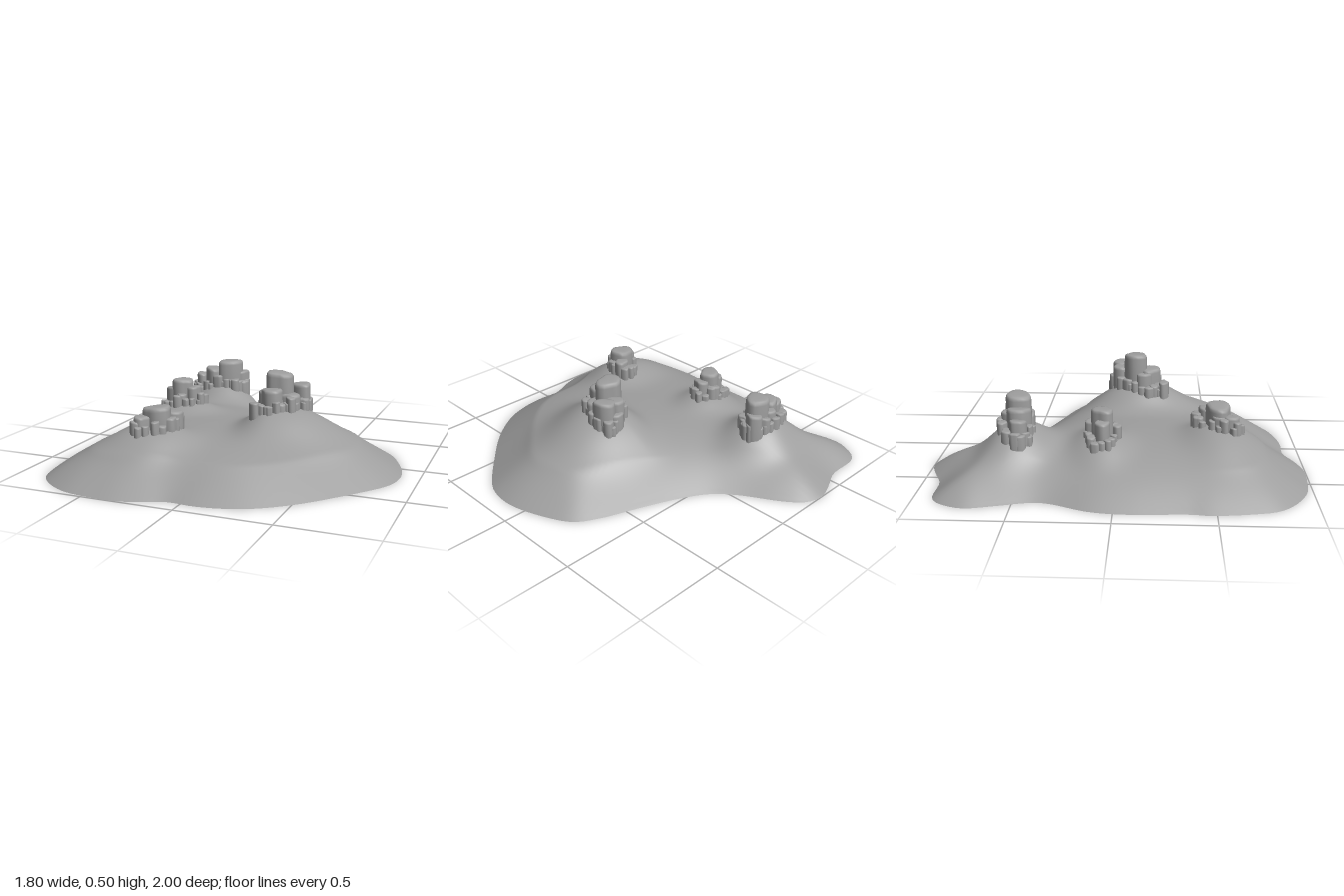
import * as THREE from 'three';
import { mergeVertices } from 'three/addons/utils/BufferGeometryUtils.js';

const CENTER = new THREE.Vector2(-0.15, 0);

// Shoreline as x, z pairs
const SHORE = [
  -0.335, -1, -0.235, -0.97, -0.16, -0.89, -0.025, -0.675, 0.07, -0.57, 0.205, -0.49,
  0.425, -0.4, 0.64, -0.32, 0.755, -0.25, 0.835, -0.11, 0.895, 0.08, 0.895, 0.2,
  0.865, 0.3, 0.69, 0.53, 0.505, 0.73, 0.33, 0.855, 0.205, 0.9, 0.07, 0.92,
  -0.075, 0.915, -0.2, 0.965, -0.33, 0.997, -0.475, 0.99, -0.62, 0.965, -0.76, 0.885,
  -0.835, 0.8, -0.87, 0.68, -0.897, 0.465, -0.888, 0.38, -0.902, 0.055, -0.88, -0.12,
  -0.8, -0.315, -0.79, -0.4, -0.833, -0.565, -0.87, -0.72, -0.855, -0.79, -0.81, -0.87,
  -0.755, -0.905, -0.565, -0.915, -0.447, -0.966,
];

// Hills: centre, height, and reach to -x, +x, -z, +z
const HILLS = [
  { x: 0.21, z: 0.1, h: 0.125, w: [0.17, 0.32, 0.27, 0.27] },
  { x: -0.39, z: -0.53, h: 0.1, w: [0.23, 0.23, 0.16, 0.16] },
  { x: -0.45, z: -0.08, h: 0.06, w: [0.19, 0.19, 0.14, 0.14] },
  { x: -0.31, z: 0.55, h: 0.07, w: [0.28, 0.18, 0.18, 0.2] },
];

// Rock groups: boulders [x, z, radius, top], and an ellipse of small stones around them
const OUTCROPS = [
  {
    name: 'eastOutcrop', x: 0.225, z: 0.095, a: 0.19, b: 0.1, turn: -0.98, stones: 24,
    rocks: [[0.205, 0.08, 0.07, 0.5], [0.305, 0, 0.056, 0.43], [0.235, -0.005, 0.05, 0.42],
      [0.19, 0.165, 0.058, 0.42], [0.14, 0.13, 0.04, 0.4], [0.27, 0.1, 0.055, 0.39],
      [0.14, 0.215, 0.035, 0.34], [0.33, 0.055, 0.034, 0.36], [0.265, -0.045, 0.036, 0.36],
      [0.325, -0.045, 0.032, 0.34], [0.24, 0.175, 0.036, 0.35], [0.16, 0.04, 0.035, 0.36]],
  },
  {
    name: 'northOutcrop', x: -0.405, z: -0.525, a: 0.175, b: 0.085, turn: -0.2, stones: 21,
    rocks: [[-0.34, -0.525, 0.072, 0.42], [-0.44, -0.51, 0.06, 0.37], [-0.515, -0.505, 0.043, 0.33],
      [-0.275, -0.56, 0.046, 0.35], [-0.4, -0.465, 0.036, 0.33], [-0.39, -0.57, 0.04, 0.34],
      [-0.25, -0.525, 0.03, 0.29], [-0.29, -0.48, 0.032, 0.31], [-0.33, -0.585, 0.034, 0.32]],
  },
  {
    name: 'westOutcrop', x: -0.453, z: -0.075, a: 0.13, b: 0.08, turn: 0, stones: 16,
    rocks: [[-0.45, -0.075, 0.058, 0.38], [-0.385, -0.075, 0.043, 0.34], [-0.51, -0.07, 0.042, 0.33],
      [-0.43, -0.13, 0.035, 0.31], [-0.44, -0.025, 0.03, 0.3]],
  },
  {
    name: 'southOutcrop', x: -0.315, z: 0.53, a: 0.135, b: 0.08, turn: -0.9, stones: 16,
    rocks: [[-0.31, 0.53, 0.07, 0.365], [-0.245, 0.465, 0.042, 0.33], [-0.37, 0.59, 0.043, 0.32],
      [-0.24, 0.525, 0.036, 0.31], [-0.365, 0.53, 0.035, 0.32]],
  },
];

let seed = 7;
function random(min, max) {
  seed = (seed * 16807) % 2147483647;
  return min + (max - min) * (seed / 2147483647);
}

function shorePoints(count) {
  const pts = [];
  for (let i = 0; i < SHORE.length; i += 2) pts.push(new THREE.Vector3(SHORE[i], 0, SHORE[i + 1]));
  return new THREE.CatmullRomCurve3(pts, true).getSpacedPoints(count).slice(0, -1);
}

const FINE_SHORE = shorePoints(480);
const SHORE_STEP = FINE_SHORE[0].distanceTo(FINE_SHORE[1]);

// Soft distance to the shore, without creases along the middle line
function shoreDistance(x, z) {
  let sum = 0;
  for (const p of FINE_SHORE) sum += ((x - p.x) ** 2 + (z - p.z) ** 2 + 1e-8) ** -4;
  return (sum * SHORE_STEP / 0.98) ** (-1 / 7);
}

// Shouldered bank in the south-east, rounder slopes in the north-west, and hills on top
function groundHeight(x, z) {
  const d = shoreDistance(x, z);
  const ledge = d < 0.22 ? 0.64 * d : 0.141 + 0.075 * (1 - Math.exp(-(d - 0.22) / 0.25));
  const round = 0.21 * Math.tanh(d * 0.68 / 0.21);
  let y = THREE.MathUtils.lerp(round, ledge, THREE.MathUtils.smoothstep(x + z, -0.3, 0.4));
  for (const { x: hx, z: hz, h, w } of HILLS) {
    const u = (x - hx) / (x < hx ? w[0] : w[1]);
    const v = (z - hz) / (z < hz ? w[2] : w[3]);
    y += h * Math.exp(-((u * u + v * v) ** 1.4)) * Math.min(1, d / 0.22);
  }
  return y;
}

// Concentric rings from the middle out to the shoreline, open underneath
function makeGround() {
  const rings = 56, shore = shorePoints(160), n = shore.length;
  const pos = [CENTER.x, groundHeight(CENTER.x, CENTER.y), CENTER.y];
  const index = [];
  for (let r = 1; r <= rings; r++) {
    for (let i = 0; i < n; i++) {
      const t = r / rings;
      const x = CENTER.x + (shore[i].x - CENTER.x) * t;
      const z = CENTER.y + (shore[i].z - CENTER.y) * t;
      pos.push(x, r === rings ? 0 : groundHeight(x, z), z);
      const j = (i + 1) % n, a = 1 + (r - 1) * n;
      if (r === 1) index.push(0, a + j, a + i);
      else {
        const b = a - n;
        index.push(b + i, b + j, a + i, b + j, a + j, a + i);
      }
    }
  }
  const geo = new THREE.BufferGeometry();
  geo.setAttribute('position', new THREE.Float32BufferAttribute(pos, 3));
  geo.setIndex(index);
  geo.computeVertexNormals();
  return geo;
}

// Upright boulder with an uneven plan, rounded shoulder and nearly flat tilted top
function makeRock(radius, height) {
  const e = Math.min(radius * 0.35, height * 0.3);
  const profile = [
    [radius * 0.95, 0], [radius, height * 0.35], [radius * 0.98, height - e],
    [radius - e * 0.15, height - e * 0.5], [radius - e * 0.4, height - e * 0.16],
    [radius - e, height - e * 0.03], [radius * 0.3, height], [0, height],
  ].map(([x, y]) => new THREE.Vector2(x, y));
  let geo = new THREE.LatheGeometry(profile, 18);
  geo.deleteAttribute('uv');
  geo.deleteAttribute('normal');
  geo = mergeVertices(geo, 1e-5);
  const p = geo.attributes.position;
  const p2 = random(0, 6.28), p3 = random(0, 6.28), p5 = random(0, 6.28), lean = random(-0.15, 0.15);
  for (let i = 0; i < p.count; i++) {
    const x = p.getX(i), y = p.getY(i), z = p.getZ(i), a = Math.atan2(z, x);
    const s = 1 + 0.1 * Math.cos(2 * a + p2) + 0.07 * Math.cos(3 * a + p3) + 0.04 * Math.cos(5 * a + p5);
    p.setXYZ(i, x * s, y + lean * x * (y / height), z * s);
  }
  geo.computeVertexNormals();
  return geo;
}

export function createModel() {
  const group = new THREE.Group();
  const material = new THREE.MeshStandardMaterial({ color: 0x9e9e9e, side: THREE.DoubleSide });

  const ground = new THREE.Mesh(makeGround(), material);
  ground.name = 'island';
  group.add(ground);

  for (const o of OUTCROPS) {
    const outcrop = new THREE.Group();
    outcrop.name = o.name;
    const addRock = (name, x, z, radius, top) => {
      const base = groundHeight(x, z) - 0.03;
      const rock = new THREE.Mesh(makeRock(radius, top - base), material);
      rock.name = name;
      rock.position.set(x, base, z);
      outcrop.add(rock);
    };
    for (const r of o.rocks) addRock('boulder', ...r);
    // Small stones round the foot
    for (let i = 0; i < o.stones; i++) {
      const a = (i / o.stones) * Math.PI * 2 + random(-0.1, 0.1), k = random(0.82, 0.98);
      const u = Math.cos(a) * o.a * k, v = Math.sin(a) * o.b * k;
      const x = o.x + u * Math.cos(o.turn) - v * Math.sin(o.turn);
      const z = o.z + u * Math.sin(o.turn) + v * Math.cos(o.turn);
      const radius = random(0.015, 0.029);
      addRock('stone', x, z, radius, groundHeight(x, z) + radius * random(1.3, 2.8));
    }
    group.add(outcrop);
  }
  return group;
}
